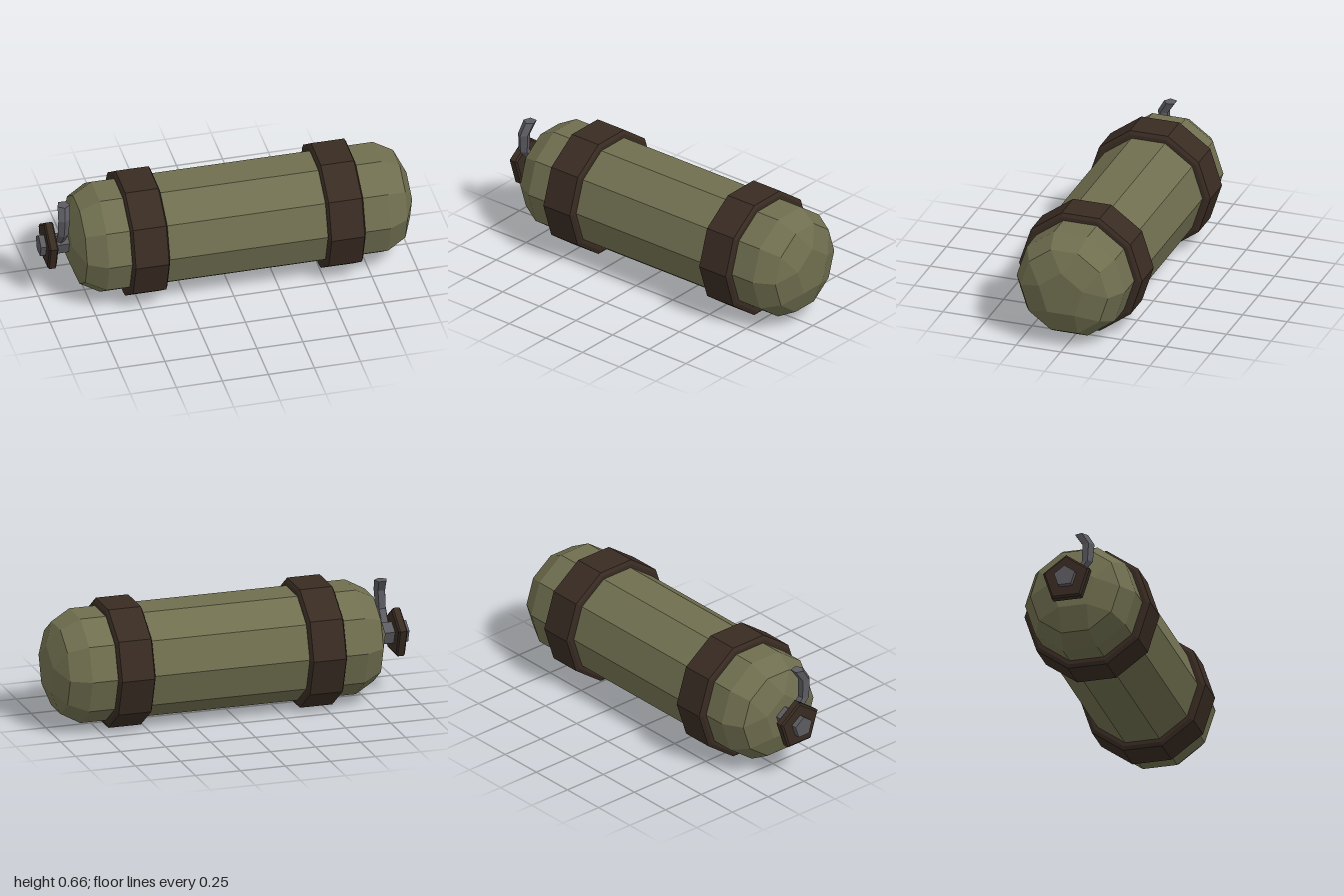
import * as THREE from 'three';
import { ConvexGeometry } from 'three/addons/geometries/ConvexGeometry.js';

const AXIS_Y = 0.328;

const material = (name, color) => {
  const m = new THREE.MeshStandardMaterial({ color, flatShading: true });
  m.name = name;
  return m;
};

// Points of a regular polygon around the tank's long axis
function ring(x, radius, sides, startDeg) {
  return Array.from({ length: sides }, (_, i) => {
    const a = THREE.MathUtils.degToRad(startDeg + (i * 360) / sides);
    return new THREE.Vector3(x, AXIS_Y + radius * Math.sin(a), radius * Math.cos(a));
  });
}

// Low-poly turned part along x; profile is a list of [radius, x]
function turned(profile, sides, phi) {
  const points = profile.map(([r, x]) => new THREE.Vector2(r, x));
  const g = new THREE.LatheGeometry(points, sides, phi);
  g.rotateZ(-Math.PI / 2);
  g.translate(0, AXIS_Y, 0);
  return g;
}

export function createModel() {
  const olive = material('olive paint', 0x6f6e4f);
  const brown = material('dark brown', 0x382b22);
  const metal = material('grey metal', 0x5b5b60);
  const model = new THREE.Group();
  model.name = 'gasTank';

  const add = (name, geometry, mat) => {
    const mesh = new THREE.Mesh(geometry, mat);
    mesh.name = name;
    model.add(mesh);
  };

  // Ten-sided body with faceted domes ending in small pentagons
  add('tankBody', new ConvexGeometry([
    ...ring(-0.845, 0.13, 5, 18),
    ...ring(-0.795, 0.245, 10, 0),
    ...ring(-0.69, 0.304, 10, 0),
    ...ring(0.84, 0.304, 10, 0),
    ...ring(0.945, 0.245, 10, 0),
    ...ring(1.0, 0.13, 5, 18),
  ]), olive);

  // Two chamfered bands
  [['bandNearValve', -0.465], ['bandNearBase', 0.598]].forEach(([name, x]) => {
    add(name, turned([
      [0.28, x - 0.1], [0.325, x - 0.1], [0.345, x - 0.09],
      [0.345, x + 0.09], [0.325, x + 0.1], [0.28, x + 0.1],
    ], 10, 0), brown);
  });

  // Five-sided valve stem and hand wheel
  add('valveStem', turned([[0, -1], [0.06, -1], [0.06, -0.83], [0, -0.83]], 5, -Math.PI / 2), metal);
  add('valveWheel', turned([
    [0, -0.97], [0.122, -0.97], [0.135, -0.962],
    [0.135, -0.928], [0.122, -0.92], [0, -0.92],
  ], 5, -Math.PI / 2), brown);

  // Bent lever: each row of a cylinder is shifted along a crooked path
  const path = [[-0.888, 0.34, 0.01], [-0.892, 0.44, 0.095], [-0.888, 0.54, 0.1], [-0.88, 0.605, 0.06]];
  const lever = new THREE.CylinderGeometry(0.036, 0.028, 3, 5, 3);
  const pos = lever.attributes.position;
  for (let i = 0; i < pos.count; i++) {
    const [x, y, z] = path[Math.round(pos.getY(i) + 1.5)];
    pos.setXYZ(i, pos.getX(i) + x, y, pos.getZ(i) + z);
  }
  lever.computeVertexNormals();
  add('valveLever', lever, metal);

  return model;
}
